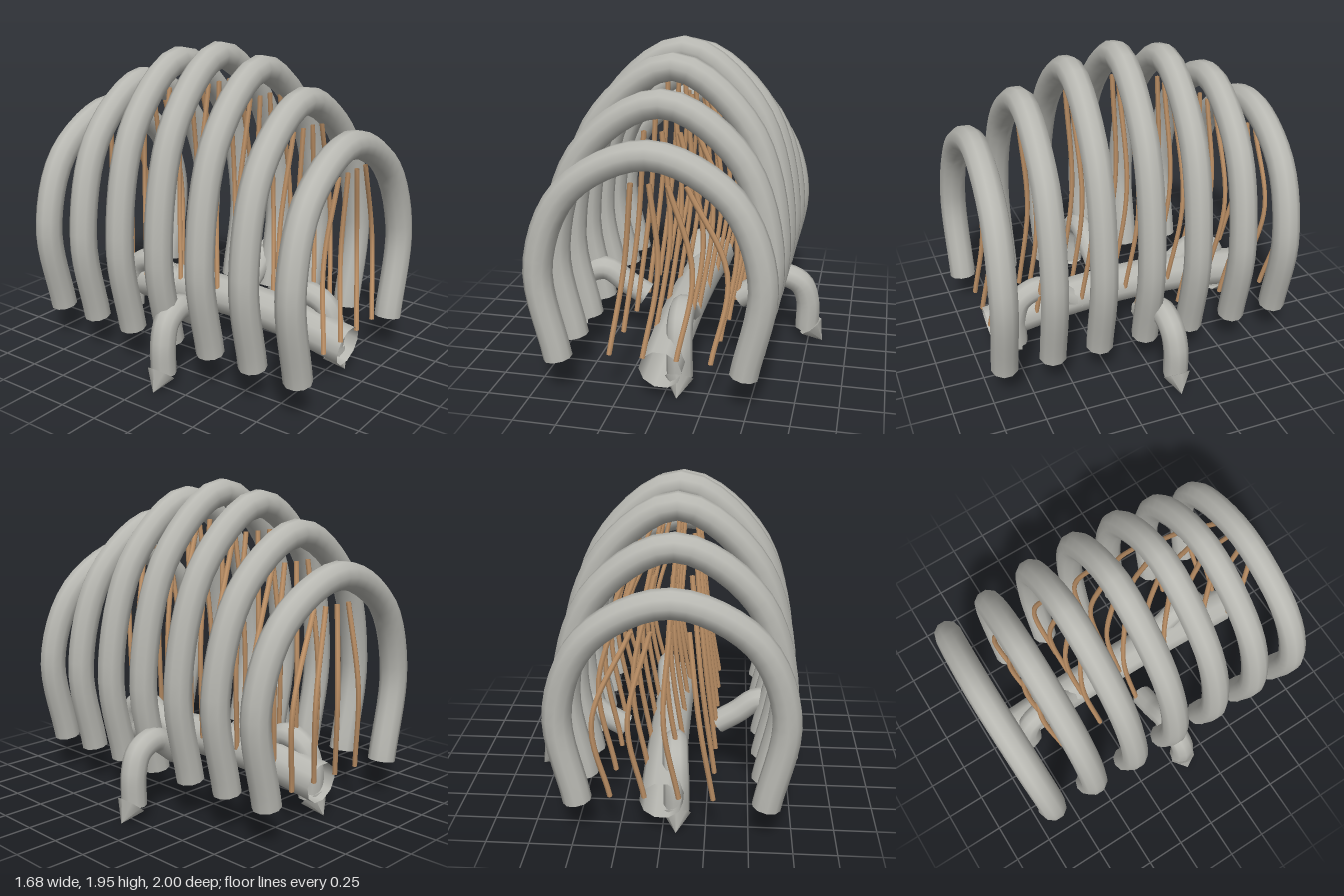
import * as THREE from 'three';

const V = (x, y, z) => new THREE.Vector3(x, y, z);

export function createModel() {
  const model = new THREE.Group();
  const grey = new THREE.MeshStandardMaterial({ color: 0xb8b8b2, side: THREE.DoubleSide });
  grey.name = 'stone grey';
  const tan = new THREE.MeshStandardMaterial({ color: 0xc4966a, side: THREE.DoubleSide });
  tan.name = 'tan';

  // Open tube swept through a few points
  function tube(name, points, radius, segments, sides, material, parent) {
    const curve = new THREE.CatmullRomCurve3(points);
    const mesh = new THREE.Mesh(new THREE.TubeGeometry(curve, segments, radius, sides), material);
    mesh.name = name;
    parent.add(mesh);
    return mesh;
  }

  // Bowed log along the bottom
  tube('spine', [V(0, 0.21, 0.895), V(0, 0.285, 0.45), V(0, 0.315, 0), V(0, 0.3, -0.45), V(0, 0.245, -0.88)],
    0.125, 24, 10, grey, model);

  // Seven arches, tallest in the middle, each with four thin rods
  const tops = [1.88, 1.825, 1.67, 1.455];
  for (let i = -3; i <= 3; i++) {
    const top = tops[Math.abs(i)];
    const bay = new THREE.Group();
    bay.name = 'archBay';
    bay.position.z = i * 0.3;
    model.add(bay);

    const shoulder = 0.8 + 0.67 * (top - 0.8);
    const half = [[0.535, 0.24, 0.015], [0.63, 0.8, 0.015], [0.45, shoulder, -0.005]];
    const points = [
      ...half.map(([x, y, z]) => V(-x - 0.06, y, z)),
      V(-0.055, top, -0.02),
      ...half.reverse().map(([x, y, z]) => V(x - 0.055, y, z)),
    ];
    tube('arch', points, 0.084, 36, 10, grey, bay);

    const rodTop = top - 0.16;
    for (let k = 0; k < 4; k++) {
      const x = -0.295 + k * 0.195;
      tube('rod', [V(x, 0.28, 0), V(x + 0.08, (0.28 + rodTop) / 2, -0.065), V(-0.155 + k * 0.103, rodTop, -0.02)],
        0.016, 16, 6, tan, bay);
    }
  }

  // Four bent legs with pointed feet, turned a quarter each
  for (let i = 0; i < 4; i++) {
    const leg = new THREE.Group();
    leg.name = 'leg';
    leg.rotation.y = i * Math.PI / 2;
    model.add(leg);
    tube('limb', [V(0.295, 0.285, -0.045), V(0.42, 0.36, -0.05), V(0.56, 0.452, -0.06),
      V(0.69, 0.405, -0.07), V(0.738, 0.29, -0.078), V(0.74, 0.1, -0.08)], 0.076, 24, 10, grey, leg);

    const foot = new THREE.Mesh(new THREE.ConeGeometry(0.086, 0.124, 8), grey);
    foot.name = 'foot';
    foot.position.set(0.803, 0.057, -0.08);
    foot.quaternion.setFromUnitVectors(V(0, 1, 0), V(0.62, -0.78, 0).normalize());
    leg.add(foot);
  }
  return model;
}
